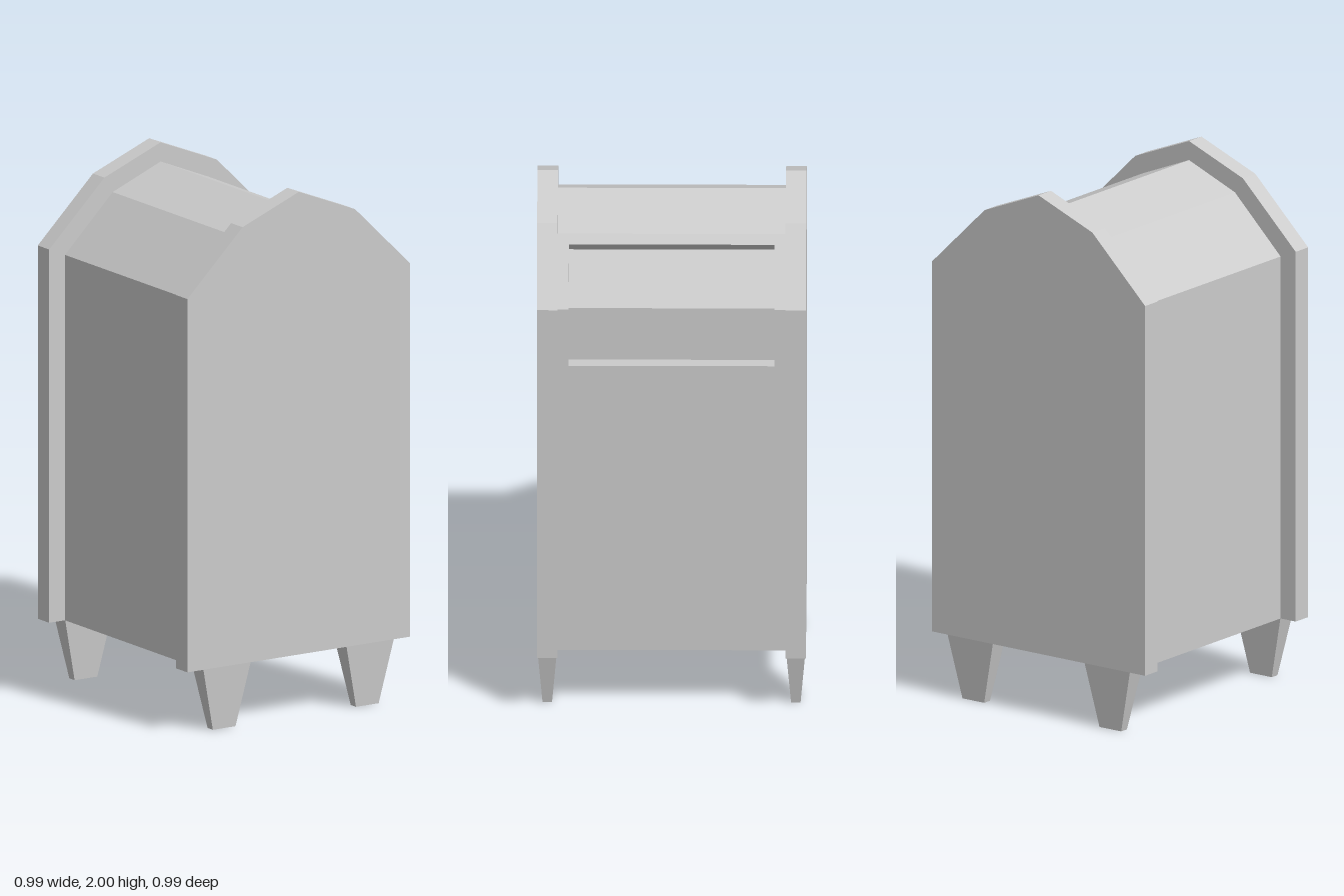
import * as THREE from 'three';

const material = new THREE.MeshStandardMaterial({ color: 0xcccccc, flatShading: true });

// Extrudes an x-y profile from z0 to z1.
function slab(name, points, z0, z1) {
  const shape = new THREE.Shape(points.map(([x, y]) => new THREE.Vector2(x, y)));
  const geometry = new THREE.ExtrudeGeometry(shape, { depth: z1 - z0, bevelEnabled: false });
  geometry.translate(0, 0, z0);
  const mesh = new THREE.Mesh(geometry, material);
  mesh.name = name;
  return mesh;
}

// Leg block whose foot is narrower than its top.
function taperedLeg(name, x, z) {
  const height = 0.24;
  const geometry = new THREE.BoxGeometry(0.21, height, 0.073);
  const p = geometry.attributes.position;
  for (let i = 0; i < p.count; i++) {
    if (p.getY(i) < 0) {
      p.setX(i, p.getX(i) * 0.48);
      p.setZ(i, p.getZ(i) * 0.48);
    }
  }
  geometry.computeVertexNormals();
  const mesh = new THREE.Mesh(geometry, material);
  mesh.position.set(x, height / 2, z);
  mesh.name = name;
  return mesh;
}

export function createModel() {
  const group = new THREE.Group();
  group.name = 'mailbox';

  const panelProfile = [
    [-0.495, 0.24], [0.495, 0.24], [0.495, 1.66], [0.25, 1.9],
    [0, 2], [-0.25, 1.9], [-0.495, 1.66],
  ];
  const roofLeft = [[0, 1.927], [-0.213, 1.84], [-0.425, 1.63]];
  const bodyProfile = [[-0.425, 0.24], [0.425, 0.24], [0.425, 1.63], [0.213, 1.84], ...roofLeft];

  // Middle section is cut back to form the recessed mail hatch.
  const hatchProfile = [
    [-0.425, 0.24], [0.425, 0.24], [0.425, 1.4], [0.37, 1.4], [0.37, 1.61],
    [0.204, 1.772], [0.243, 1.81], [0.213, 1.84], ...roofLeft,
  ];
  group.add(slab('bodyWithHatch', hatchProfile, -0.38, 0.38));

  for (const [end, s] of [['front', 1], ['back', -1]]) {
    // Body strips beside the hatch, and the larger end panels.
    const span = (a, b) => (s > 0 ? [a, b] : [-b, -a]);
    group.add(slab(end + 'BodyStrip', bodyProfile, ...span(0.38, 0.421)));
    group.add(slab(end + 'Panel', panelProfile, ...span(0.421, 0.497)));
    for (const [side, x] of [['Left', 0.318], ['Right', -0.318]]) {
      group.add(taperedLeg(end + side + 'Leg', x, s * 0.459));
    }
  }
  return group;
}
